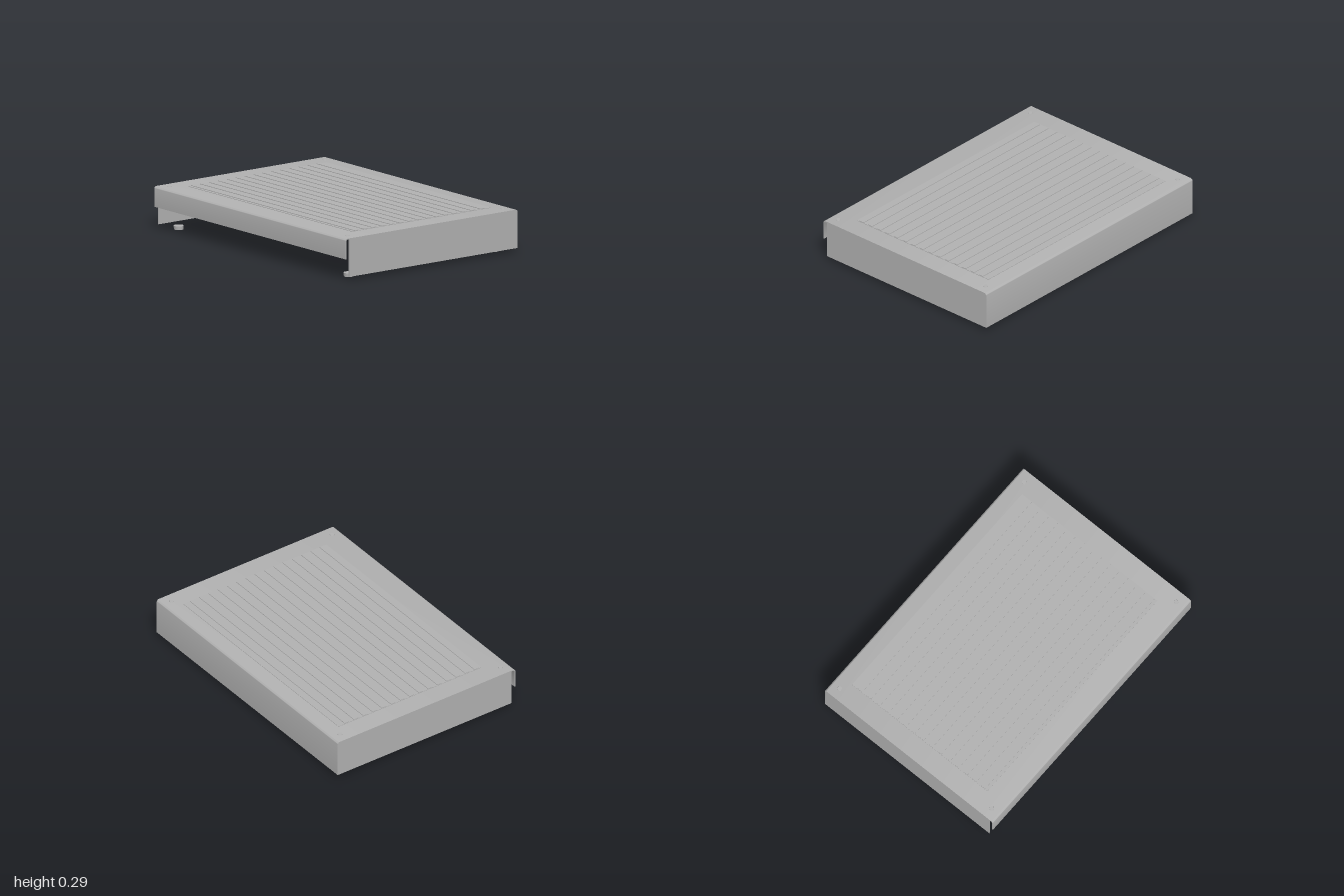
import * as THREE from 'three';
import { toCreasedNormals } from 'three/addons/utils/BufferGeometryUtils.js';

export function createModel() {
  const group = new THREE.Group();
  const steel = new THREE.MeshStandardMaterial({ color: 0xb2b2b2 });
  steel.name = 'steel grey';

  function add(name, geometry, x = 0, y = 0, z = 0) {
    const mesh = new THREE.Mesh(geometry, steel);
    mesh.name = name;
    mesh.position.set(x, y, z);
    group.add(mesh);
    return mesh;
  }

  // Bent top sheet: short lip on the -x side, full-height wall on the +x side
  const W = 0.711, TOP = 0.281, T = 0.007, R = 0.018, LIP = 0.145, BASE = 0.025;
  const r = R - T;
  const profile = new THREE.Shape();
  profile.moveTo(-W, LIP);
  profile.lineTo(-W + T, LIP);
  profile.lineTo(-W + T, TOP - R);
  profile.absarc(-W + R, TOP - R, r, Math.PI, Math.PI / 2, true);
  profile.lineTo(W - R, TOP - T);
  profile.absarc(W - R, TOP - R, r, Math.PI / 2, 0, true);
  profile.lineTo(W - T, BASE);
  profile.lineTo(W, BASE);
  profile.lineTo(W, TOP - R);
  profile.absarc(W - R, TOP - R, R, 0, Math.PI / 2, false);
  profile.lineTo(-W + R, TOP);
  profile.absarc(-W + R, TOP - R, R, Math.PI / 2, Math.PI, false);
  profile.closePath();
  const sheet = new THREE.ExtrudeGeometry(profile, { depth: 2, bevelEnabled: false, curveSegments: 6 });
  add('topSheet', toCreasedNormals(sheet, 0.6), 0, 0, -1);

  // End walls, feet and rivets, mirrored front to back
  const wallLeft = -0.68, wallRight = W - T - 0.001, wallTop = TOP - T;
  const wall = new THREE.BoxGeometry(wallRight - wallLeft, wallTop - BASE, T);
  const foot = new THREE.CylinderGeometry(0.033, 0.031, BASE, 32);
  const rivet = new THREE.CylinderGeometry(0.014, 0.016, 0.005, 24);
  for (const s of [1, -1]) {
    const end = s > 0 ? 'front' : 'back';
    add(end + 'Wall', wall, (wallLeft + wallRight) / 2, (wallTop + BASE) / 2, s * (1 - T / 2));
    for (const side of [1, -1]) {
      const label = end + (side > 0 ? 'Left' : 'Right');
      add(label + 'Foot', foot, side * 0.598, BASE / 2, s * 0.888);
      add(label + 'Rivet', rivet, side * 0.643, TOP + 0.0015, s * 0.93);
    }
  }

  // Slightly raised panel carrying the long ribs
  add('ribPanel', new THREE.BoxGeometry(1.145, 0.004, 1.715), 0.028, TOP + 0.001, 0);
  const rib = new THREE.BoxGeometry(0.035, 0.006, 1.71);
  for (let i = 0; i < 15; i++) {
    add('rib' + (i + 1), rib, -0.506 + i * 0.0742, TOP + 0.004, 0);
  }

  return group;
}
